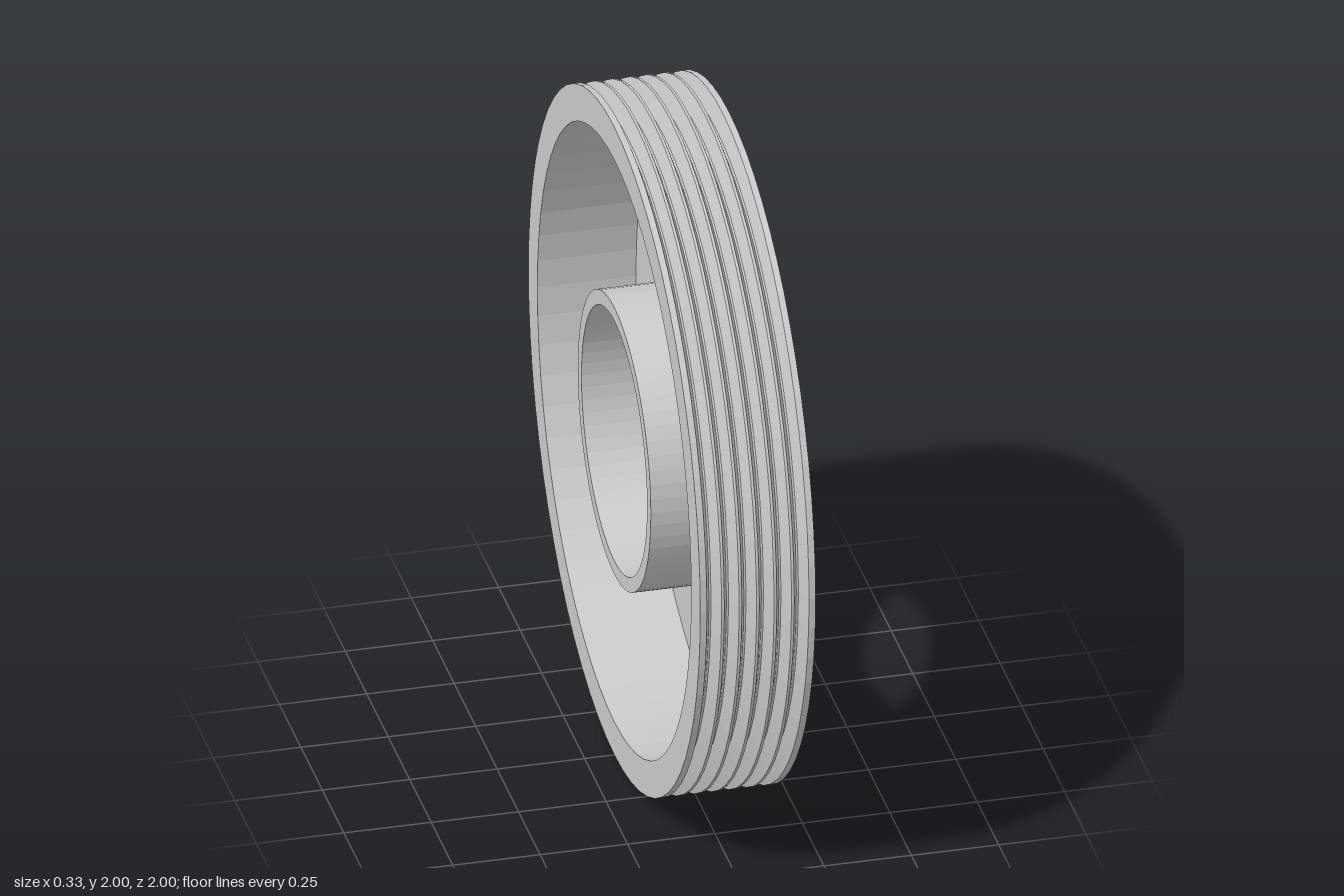
import * as THREE from 'three';

const SEGMENTS = 64;
const HALF_WIDTH = 0.165;
const OUTER = 1, CAVITY = 0.895, HUB = 0.425, BORE = 0.382;
const FLOOR = 0.117; // inner side of the web, along the axle
const GROOVES = 6, PITCH = 0.05, DEPTH = 0.05;

// Revolve [radius, axial position] points about the x axle.
function revolve(name, profile) {
  const points = profile.map(([r, a]) => new THREE.Vector2(r, a));
  const geometry = new THREE.LatheGeometry(points, SEGMENTS);
  geometry.rotateZ(-Math.PI / 2);
  const material = new THREE.MeshStandardMaterial({ color: 0xcccccc, flatShading: true });
  const mesh = new THREE.Mesh(geometry, material);
  mesh.name = name;
  mesh.position.y = OUTER;
  return mesh;
}

export function createModel() {
  const group = new THREE.Group();
  group.name = 'groovedPulley';

  // Rim: cavity wall, open edge, then the row of V grooves
  const rim = [[CAVITY, FLOOR], [CAVITY, -HALF_WIDTH], [OUTER, -HALF_WIDTH]];
  for (let i = 0; i < GROOVES; i++) {
    const c = (i - (GROOVES - 1) / 2) * PITCH;
    rim.push(
      [OUTER, c - 0.021], [OUTER - DEPTH, c - 0.003],
      [OUTER - DEPTH, c + 0.003], [OUTER, c + 0.021],
    );
  }
  rim.push([OUTER, HALF_WIDTH]);
  group.add(revolve('groovedRim', rim));

  // Web: flat outer face and cavity floor
  group.add(revolve('webFace', [[OUTER, HALF_WIDTH], [BORE, HALF_WIDTH]]));
  group.add(revolve('webFloor', [[HUB, FLOOR], [CAVITY, FLOOR]]));

  // Hub: through bore, end ring and outer sleeve
  group.add(revolve('hub', [
    [BORE, HALF_WIDTH], [BORE, -HALF_WIDTH], [HUB, -HALF_WIDTH], [HUB, FLOOR],
  ]));

  return group;
}
